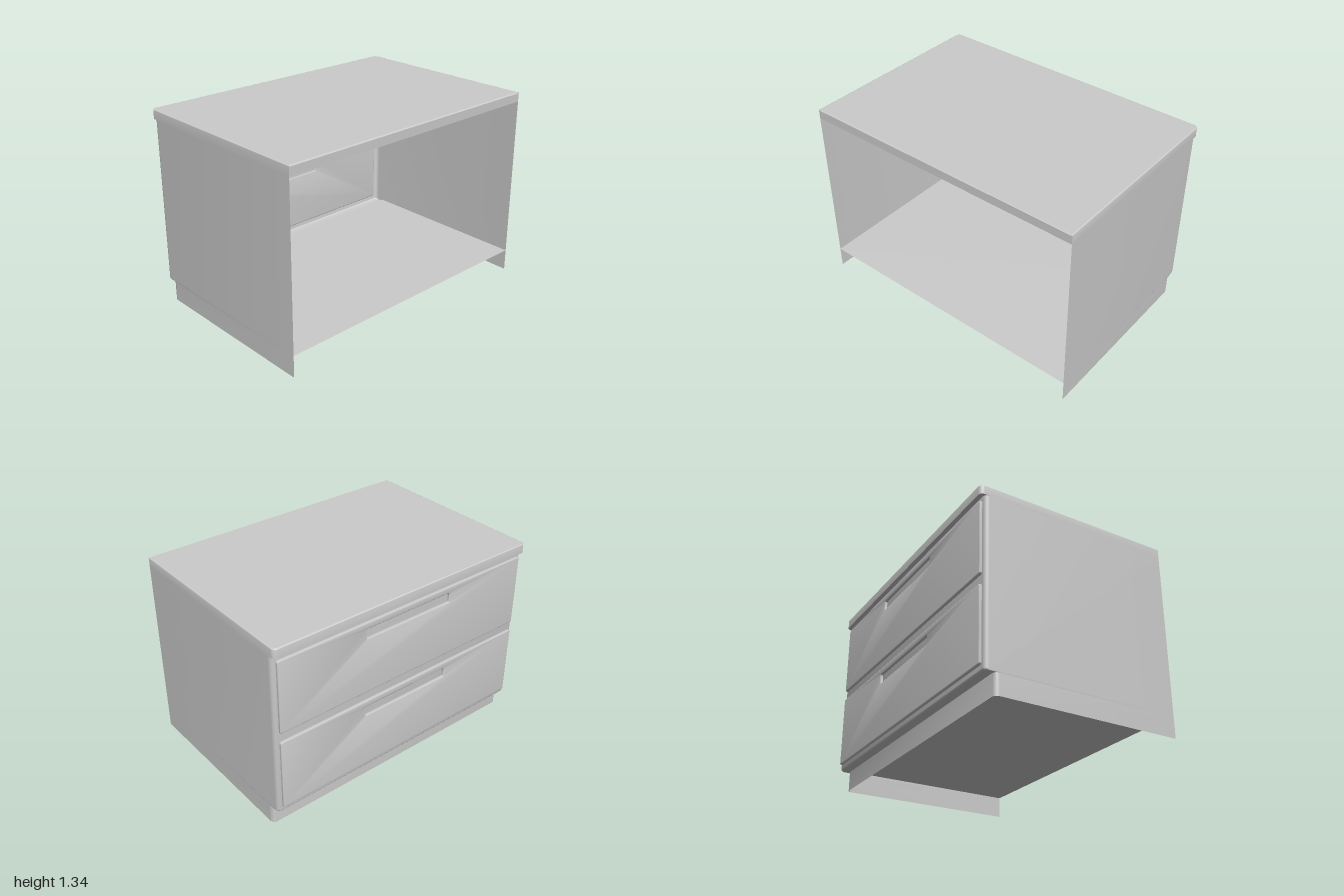
import * as THREE from 'three';
import { toCreasedNormals } from 'three/addons/utils/BufferGeometryUtils.js';

const OPEN_Z = 0.68; // open side of the cabinet
const grey = new THREE.MeshStandardMaterial({ color: 0xcccccc, side: THREE.DoubleSide });

// U-shaped plan outline with two rounded corners, open towards +z
function plan(z, halfW = 1, r = 0.03, end = OPEN_Z) {
  const pts = [new THREE.Vector2(halfW, end)];
  for (const [cx, start] of [[halfW - r, 0], [-halfW + r, Math.PI / 2]]) {
    for (let i = 0; i <= 6; i++) {
      const a = start + (i / 6) * Math.PI / 2;
      pts.push(new THREE.Vector2(cx + r * Math.cos(a), z + r - r * Math.sin(a)));
    }
  }
  pts.push(new THREE.Vector2(-halfW, end));
  return pts;
}

// Sheet through a stack of plan outlines: [z, y, halfWidth, radius, open end]
function loft(levels) {
  const pos = [], index = [];
  const rings = levels.map(([z, y, w, r, end]) => ({ y, pts: plan(z, w, r, end) }));
  const n = rings[0].pts.length;
  for (const { y, pts } of rings) for (const p of pts) pos.push(p.x, y, p.y);
  for (let k = 0; k < rings.length - 1; k++) {
    for (let i = 0; i < n - 1; i++) {
      const a = k * n + i, b = a + 1, c = a + n, d = c + 1;
      index.push(a, b, d, a, d, c);
    }
  }
  const g = new THREE.BufferGeometry();
  g.setAttribute('position', new THREE.Float32BufferAttribute(pos, 3));
  g.setIndex(index);
  return toCreasedNormals(g, 0.6);
}

// Flat horizontal panel filling a plan outline
function panel(pts, y) {
  const shape = new THREE.Shape(pts.map(p => new THREE.Vector2(p.x, -p.y)));
  return new THREE.ShapeGeometry(shape).rotateX(-Math.PI / 2).translate(0, y, 0);
}

function rounded(path, x, y, w, h, r) {
  path.moveTo(x + r, y);
  path.lineTo(x + w - r, y);
  path.absarc(x + w - r, y + r, r, -Math.PI / 2, 0);
  path.lineTo(x + w, y + h - r);
  path.absarc(x + w - r, y + h - r, r, 0, Math.PI / 2);
  path.lineTo(x + r, y + h);
  path.absarc(x + r, y + h - r, r, Math.PI / 2, Math.PI);
  path.lineTo(x, y + r);
  path.absarc(x + r, y + r, r, Math.PI, Math.PI * 1.5);
  return path;
}

// Raised drawer front with a shallow grip recess
function drawerFront() {
  const w = 1.94, h = 0.5, bevel = 0.006;
  const shape = rounded(new THREE.Shape(), -w / 2, 0, w, h, 0.012);
  shape.holes.push(rounded(new THREE.Path(), -0.335, h - 0.11, 0.67, 0.065, 0.006));
  const g = new THREE.ExtrudeGeometry(shape, {
    depth: 0.01, bevelSize: bevel, bevelThickness: bevel, bevelOffset: -bevel,
    bevelSegments: 3, curveSegments: 4,
  });
  return toCreasedNormals(g.rotateY(Math.PI), 0.6);
}

export function createModel() {
  const group = new THREE.Group();
  const add = (name, geometry) => {
    const mesh = new THREE.Mesh(geometry, grey);
    mesh.name = name;
    group.add(mesh);
    return mesh;
  };

  // Recessed plinth, running on into the lower side walls
  add('plinth', loft([[-0.585, 0], [-0.585, 0.138]]));

  // Cabinet walls with a rounded lower lip
  const body = [[-0.585, 0.138]];
  for (let i = 0; i <= 4; i++) {
    const a = (i / 4) * Math.PI / 2;
    body.push([-0.638 - 0.012 * Math.sin(a), 0.15 - 0.012 * Math.cos(a)]);
  }
  body.push([-0.65, 1.27]);
  add('cabinetBody', loft(body));

  // Worktop with overhang and softened upper edge
  const edge = [[-0.68, 1.27]];
  for (let i = 0; i <= 3; i++) {
    const a = (i / 3) * Math.PI / 2, inset = 0.007 * (1 - Math.cos(a));
    edge.push([-0.68 + inset, 1.328 + 0.007 * Math.sin(a), 1 - inset, 0.03 - inset, OPEN_Z - inset]);
  }
  add('worktopEdge', loft(edge));
  add('worktop', panel(plan(-0.673, 0.993, 0.023, OPEN_Z - 0.007), 1.335));
  const underside = panel(plan(-0.68), -1.27);
  add('worktopUnderside', underside.rotateZ(Math.PI));
  const fascia = new THREE.PlaneGeometry(2, 0.058).translate(0, 1.299, OPEN_Z);
  add('worktopFascia', fascia);
  const chamfer = new THREE.PlaneGeometry(1.99, 0.0099).rotateX(-Math.PI / 4);
  add('worktopChamfer', chamfer.translate(0, 1.3315, OPEN_Z - 0.0035));

  // Inside floor, stopping short of the lip
  const floor = new THREE.PlaneGeometry(2, OPEN_Z + 0.575).rotateX(-Math.PI / 2);
  add('floor', floor.translate(0, 0.15, (OPEN_Z - 0.575) / 2));

  // Two drawer fronts
  [['lowerDrawer', 0.175], ['upperDrawer', 0.74]].forEach(([name, y]) => {
    add(name, drawerFront()).position.set(0, y, -0.651);
  });
  return group;
}
